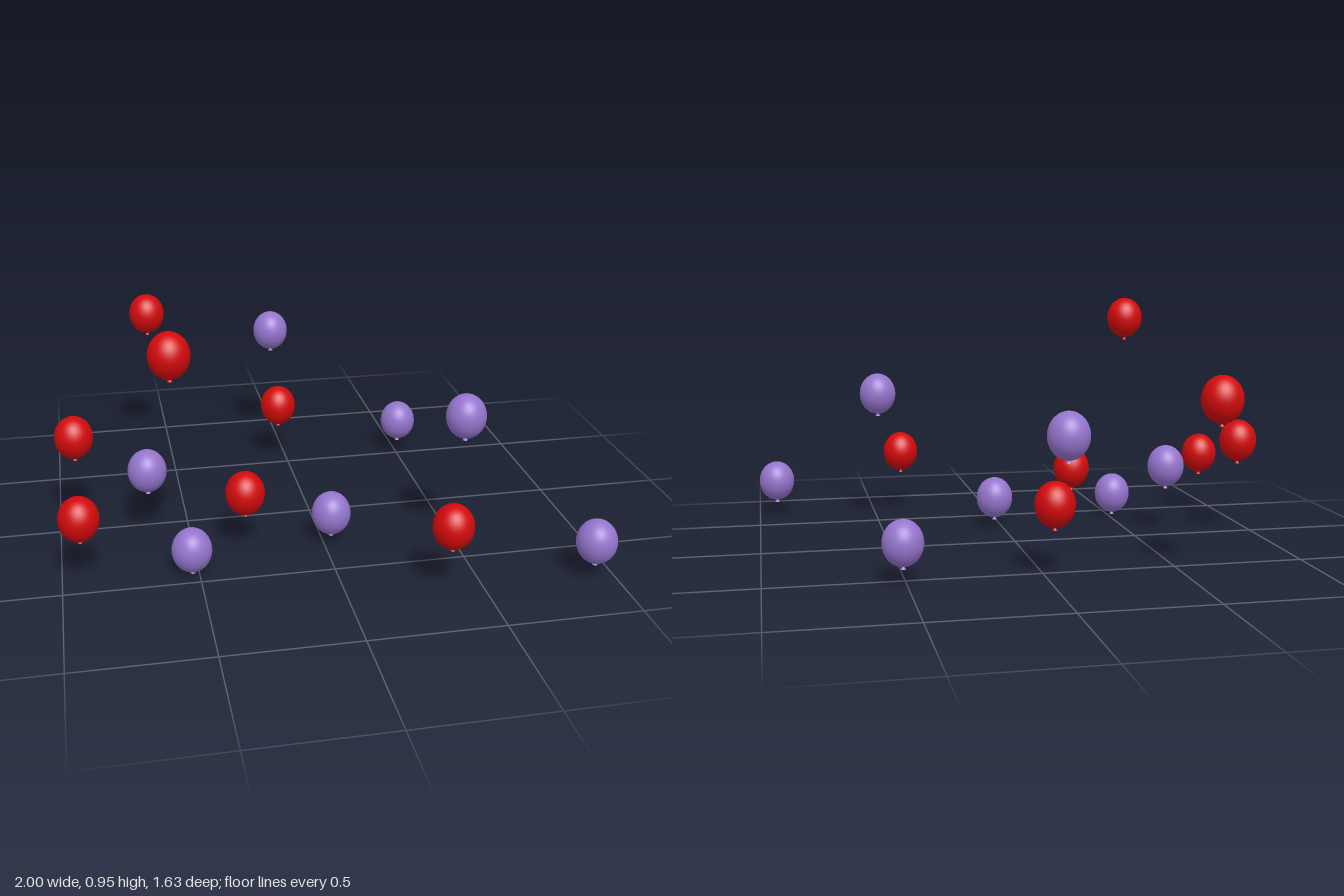
import * as THREE from 'three';

export function createModel() {
  const group = new THREE.Group();
  const red = new THREE.MeshStandardMaterial({ name: 'red', color: 0xd20a0c });
  const purple = new THREE.MeshStandardMaterial({ name: 'purple', color: 0x9575cd });

  // Slightly tall balloon body, and a small flared knot hanging below it
  const body = new THREE.SphereGeometry(1, 40, 28).scale(0.075, 0.085, 0.075);
  const knot = new THREE.ConeGeometry(0.01, 0.016, 16).translate(0, -0.087, 0);

  function addBalloon(name, material, [x, y, z]) {
    const balloon = new THREE.Group();
    balloon.name = name;
    const bodyMesh = new THREE.Mesh(body, material);
    bodyMesh.name = 'balloonBody';
    const knotMesh = new THREE.Mesh(knot, material);
    knotMesh.name = 'balloonKnot';
    balloon.add(bodyMesh, knotMesh);
    balloon.position.set(x, y, z);
    group.add(balloon);
  }

  // Balloon centres
  const redSpots = [
    [-0.58, 0.65, -0.74], [-0.037, 0.26, -0.532], [-0.925, 0.387, -0.031],
    [-0.925, 0.26, 0.424], [-0.303, 0.24, 0.284], [-0.58, 0.865, 0.45],
    [0.375, 0.26, 0.738],
  ];
  const purpleSpots = [
    [-0.034, 0.54, -0.74], [0.51, 0.146, -0.532], [-0.655, 0.272, 0.08],
    [0.03, 0.125, 0.284], [-0.524, 0.095, 0.424], [0.5, 0.557, 0.45],
    [0.924, 0.146, 0.738],
  ];
  redSpots.forEach((p, i) => addBalloon(`redBalloon${i + 1}`, red, p));
  purpleSpots.forEach((p, i) => addBalloon(`purpleBalloon${i + 1}`, purple, p));

  return group;
}
